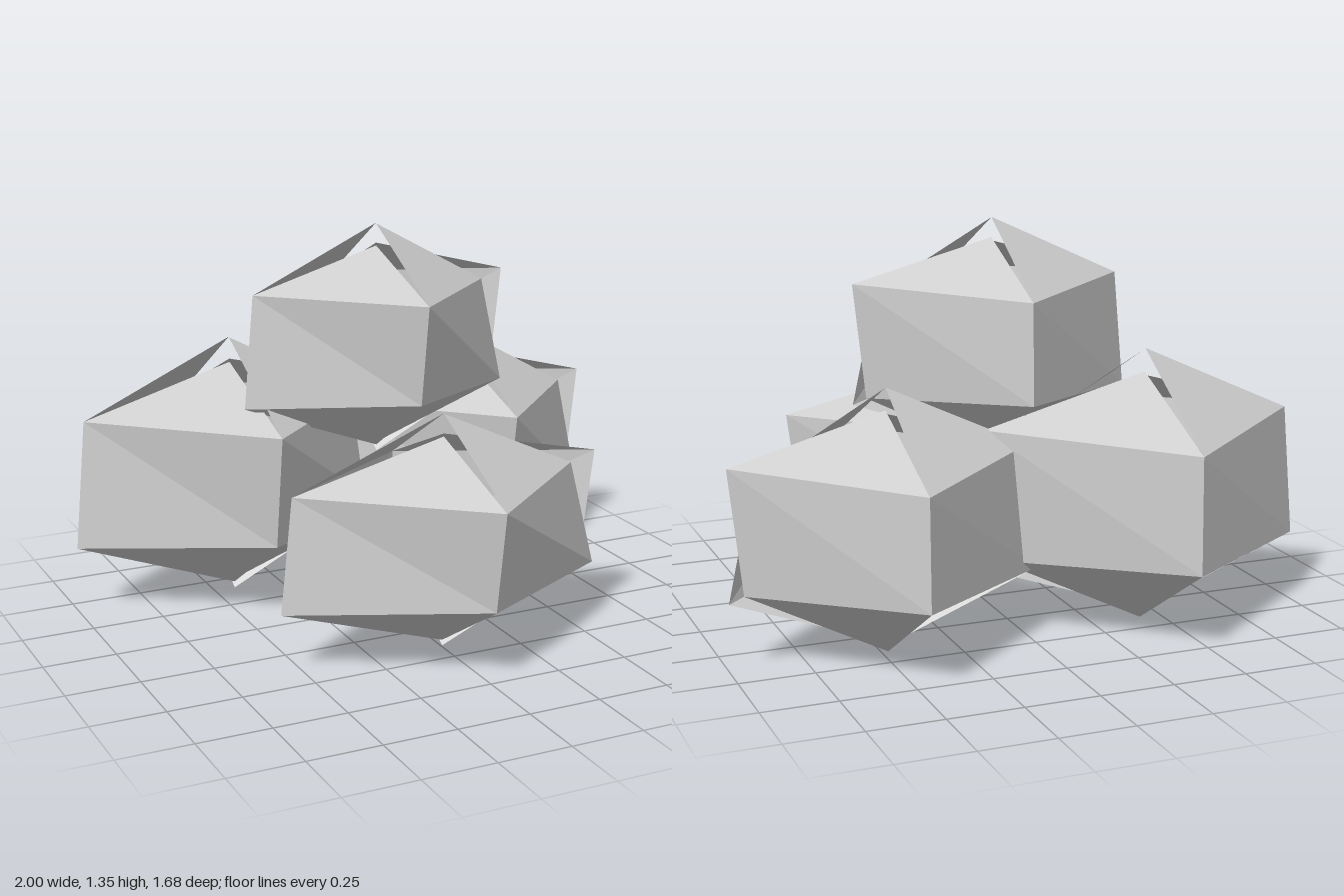
import * as THREE from 'three';

// Distance factors of the rough four-sided boulder, going round from the +x seam
// (right, front, left, back, right again); the caps differ per side, leaving cracks.
const UPPER = [0.838, 0.922, 0.932, 0.825, 0.998];
const LOWER = [1.005, 0.8, 1.005, 0.845, 0.91];
const TOP = [0.985, 0.795, 0.99, 0.82];
const BOTTOM = [0.94, 0.965, 0.86, 1.015];

function boulderGeometry() {
  const points = [];
  const ring = (factors, y, i) => {
    const a = (i * Math.PI) / 2;
    const r = factors[i] * Math.sin(Math.PI / 3);
    return [r * Math.cos(a), factors[i] * y, r * Math.sin(a)];
  };
  for (let i = 0; i < 4; i++) {
    const u0 = ring(UPPER, 0.5, i), u1 = ring(UPPER, 0.5, i + 1);
    const d0 = ring(LOWER, -0.5, i), d1 = ring(LOWER, -0.5, i + 1);
    points.push(
      [0, TOP[i], 0], u1, u0,      // top cap
      u1, d1, d0, u1, d0, u0,      // side
      d1, [0, -BOTTOM[i], 0], d0   // bottom cap
    );
  }
  const geometry = new THREE.BufferGeometry();
  geometry.setAttribute('position', new THREE.Float32BufferAttribute(points.flat(), 3));
  return geometry;
}

export function createModel() {
  const group = new THREE.Group();
  group.name = 'rockPile';
  const stone = new THREE.MeshStandardMaterial({ color: 0xcecece, flatShading: true, side: THREE.DoubleSide });
  stone.name = 'pale grey stone';

  // name, centre, radii along x, y and z
  const rocks = [
    ['frontRock', [0, 0.415, 0.41], [0.664, 0.402, 0.535]],
    ['backRightRock', [-0.425, 0.4755, -0.402], [0.662, 0.465, 0.596]],
    ['backLeftRock', [0.477, 0.445, -0.402], [0.597, 0.436, 0.567]],
    ['topRock', [0, 0.956, -0.1], [0.561, 0.4, 0.505]],
  ];
  for (const [name, centre, radii] of rocks) {
    const geometry = boulderGeometry().scale(...radii);
    geometry.computeVertexNormals();
    const rock = new THREE.Mesh(geometry, stone);
    rock.name = name;
    rock.position.set(...centre);
    group.add(rock);
  }
  return group;
}
